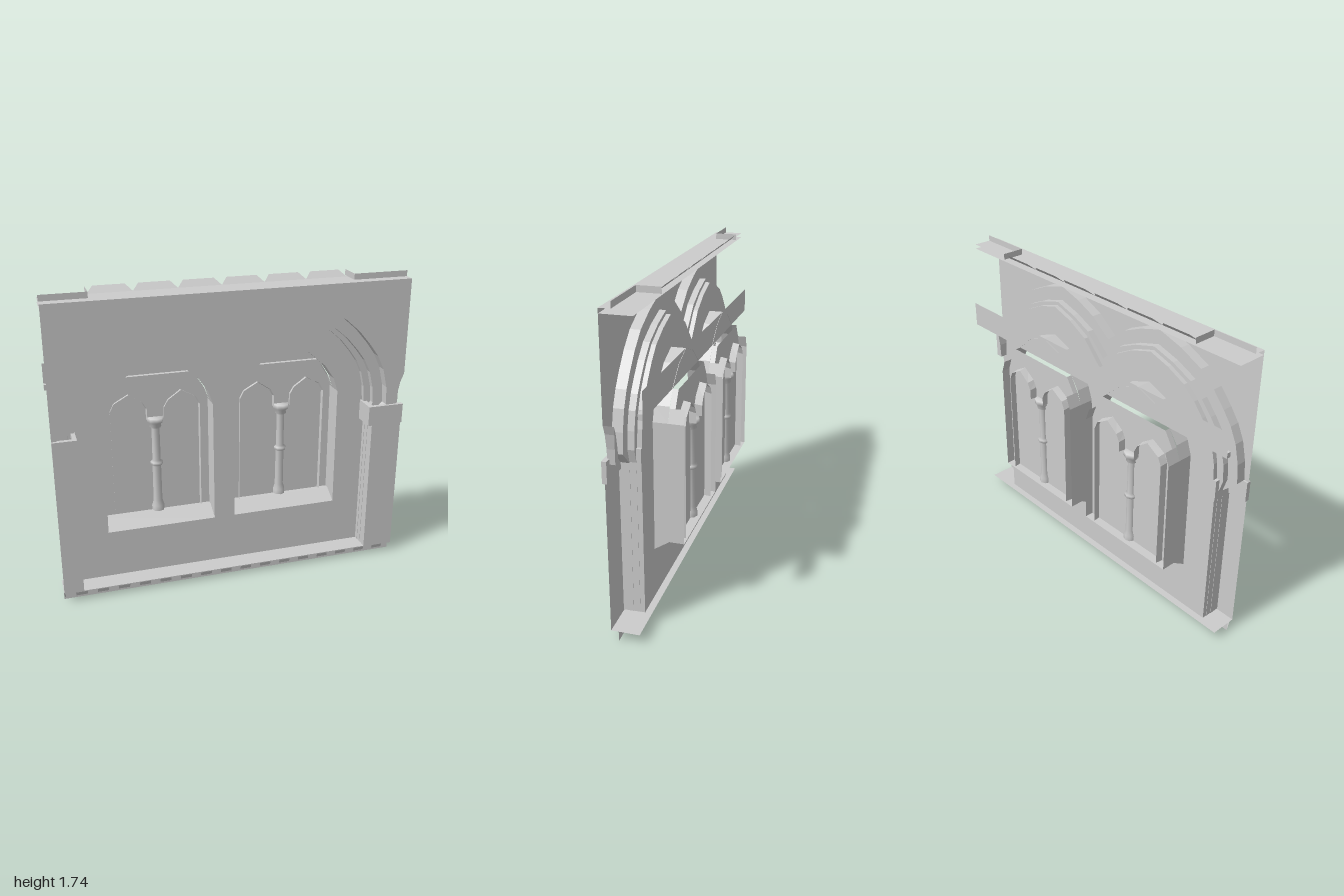
import * as THREE from 'three';

const mat = new THREE.MeshStandardMaterial({ color: 0xcccccc, side: THREE.DoubleSide });
const mirrorX = (half) => [...half.map(([x, y]) => [-x, y]), ...half.slice(0, -1).reverse()];
const shift = (pts, dx) => pts.map(([x, y]) => [x + dx, y]);

function add(parent, name, geometry, x = 0, y = 0, z = 0) {
  const mesh = new THREE.Mesh(geometry, mat);
  mesh.name = name;
  mesh.position.set(x, y, z);
  parent.add(mesh);
  return mesh;
}

function box(parent, name, x0, x1, y0, y1, z0, z1) {
  return add(parent, name, new THREE.BoxGeometry(x1 - x0, y1 - y0, z1 - z0),
    (x0 + x1) / 2, (y0 + y1) / 2, (z0 + z1) / 2);
}

// flat sheet facing +z, with openings
function sheet(parent, name, outline, holes, z) {
  const vec = (pts) => pts.map(([x, y]) => new THREE.Vector2(x, y));
  const shape = new THREE.Shape(vec(outline));
  shape.holes = holes.map((h) => new THREE.Path(vec(h)));
  return add(parent, name, new THREE.ShapeGeometry(shape), 0, 0, z);
}

// faceted band joining two outlines of equal length at two depths
function reveal(parent, name, a, za, b, zb, closed = true) {
  const pos = [];
  const n = a.length;
  for (let i = 0; i < (closed ? n : n - 1); i++) {
    const j = (i + 1) % n;
    const p = [...a[i], za], q = [...a[j], za], r = [...b[j], zb], s = [...b[i], zb];
    pos.push(...p, ...q, ...r, ...p, ...r, ...s);
  }
  const g = new THREE.BufferGeometry();
  g.setAttribute('position', new THREE.Float32BufferAttribute(pos, 3));
  g.computeVertexNormals();
  return add(parent, name, g);
}

const rect = (x0, x1, y0, y1) => [[x0, y0], [x1, y0], [x1, y1], [x0, y1]];
// horizontal sheet
const shelf = (parent, name, x0, x1, y, z0, z1) =>
  reveal(parent, name, [[x0, y], [x1, y]], z1, [[x0, y], [x1, y]], z0, false);

const CENTRES = [-0.407, 0.337];
const MID = -0.035, SPRING = 0.98;
// half arch, from the springing to the point, as fractions of width and rise
const ARCH = [[1, 0], [0.985, 0.17], [0.94, 0.34], [0.87, 0.47], [0.78, 0.58], [0.655, 0.71],
  [0.5, 0.83], [0.26, 0.93], [0, 1]];

// rise of the arch at a fraction of its width
function archAt(u) {
  const i = ARCH.findIndex(([next]) => next <= u);
  const [u0, v0] = ARCH[i - 1], [u1, v1] = ARCH[i];
  return v0 + (v1 - v0) * (u0 - u) / (u0 - u1);
}

// closed outline of the twin arch with its jambs
function twinArch(w, rise, jamb) {
  const outer = ARCH.map(([u, v]) => [u * w, SPRING + v * rise]);
  const inner = [0.13, 0.25].map((d) => [-d, SPRING + archAt(d / w) * rise]);
  const half = [[jamb, 0.06], [jamb, 0.9], ...outer, ...inner];
  const left = half.map(([x, y]) => [CENTRES[0] - x, y]);
  const right = half.map(([x, y]) => [CENTRES[1] + x, y]).reverse();
  return [...left, [MID, SPRING + archAt(0.372 / w) * rise], ...right];
}

function colonnette(parent, x) {
  const profile = [[0.036, 0.395], [0.036, 0.425], [0.026, 0.455], [0.025, 0.675], [0.036, 0.685],
    [0.036, 0.7], [0.024, 0.71], [0.023, 0.905], [0.034, 0.915], [0.03, 0.93], [0.046, 0.945],
    [0.046, 0.97], [0, 0.97]];
  const g = new THREE.LatheGeometry(profile.map(([r, y]) => new THREE.Vector2(r, y)), 8);
  add(parent, 'colonnette', g, x, 0, -0.09);
}

function windowBay(parent, c) {
  const bay = new THREE.Group();
  bay.name = 'windowBay';
  parent.add(bay);
  const top = [[0.225, 1.21], [0.12, 1.3], [0, 1.345]];
  const front = shift(mirrorX([[0.312, 0.34], [0.307, 1.05], [0.28, 1.13], ...top]), c);
  const back = shift(mirrorX([[0.31, 0.392], [0.306, 1.05], [0.28, 1.13], ...top]), c);
  reveal(bay, 'windowReveal', front, 0.015, back, -0.065);

  // deep jambs and sill framing a flat panel
  for (const s of [-1, 1]) {
    const jamb = [[c + s * 0.31, 0.392], [c + s * 0.306, 1.05], [c + s * 0.28, 1.12]];
    reveal(bay, 'deepJamb', jamb, -0.065, jamb, -0.145, false);
    const shoulder = [[c + s * 0.28, 1.12], [c + s * 0.228, 1.205]];
    reveal(bay, 'jambShoulder', shoulder, -0.065, shoulder, -0.095, false);
  }
  shelf(bay, 'deepSill', c - 0.31, c + 0.31, 0.392, -0.145, -0.065);
  const panel = mirrorX([[0.31, 0.392], [0.306, 1.05], [0.28, 1.12], [0.228, 1.205], [0, 1.205]]);
  sheet(bay, 'panel', shift(panel, c), [], -0.095);

  // pointed mouldings of the two lights, standing out on both sides of the panel
  const lancet = [[-0.108, 0.392], [-0.107, 1.03], [-0.085, 1.075], [0, 1.122], [0.075, 1.07],
    [0.098, 1.03], [0.1, 0.96]];
  const inner = lancet.map(([x, y]) => [x * 0.92, y > 1 ? y - 0.012 : y]);
  for (const s of [-1, 1]) {
    const place = (pts) => pts.map(([x, y]) => [c - s * (x - 0.147), y]);
    reveal(bay, 'lancetMoulding', place(lancet), -0.07, place(inner), -0.135, false);
  }
  colonnette(bay, c);
  return front;
}

export function createModel() {
  const model = new THREE.Group();
  model.name = 'arcadeWall';

  // stepped recess of the twin arch
  const a = twinArch(0.565, 0.635, 0.483);
  const b = twinArch(0.505, 0.555, 0.481);
  const c = twinArch(0.465, 0.535, 0.479);
  const sliver = [[0.96, 0.95], [0.965, 1.03], [0.98, 1.11], [1, 1.16]];
  const wall = [[-1, 0.055], [1, 0.055], [1, 0.95], ...sliver, [1, 1.705], [-1, 1.705]];
  sheet(model, 'frontWall', wall, [a], 0.13);
  reveal(model, 'outerArchReveal', a, 0.13, a, 0.075);
  sheet(model, 'outerArchRing', a, [b], 0.075);
  reveal(model, 'middleArchReveal', b, 0.075, b, 0.04);
  sheet(model, 'middleArchRing', b, [c], 0.04);
  reveal(model, 'innerArchReveal', c, 0.04, c, 0.015);
  reveal(model, 'nextArchReveal', sliver, 0.13, sliver, 0.075, false);
  sheet(model, 'nextArchRing', [...sliver, [1, 0.95]], [], 0.075);

  // windows and the recessed wall around them
  const openings = CENTRES.map((x) => windowBay(model, x));
  sheet(model, 'recessedWall', c, openings, 0.015);

  // band across the back with a small lip along its lower edge
  sheet(model, 'backBand', rect(-1, 1, 1.205, 1.345), [], -0.063);
  box(model, 'bandLip', -1, 1, 1.205, 1.235, -0.063, -0.04);

  // imposts on the piers, returning into the recess
  box(model, 'impostRight', -1, -0.868, 0.865, 0.98, 0.12, 0.145);
  box(model, 'impostRightReturn', -0.89, -0.868, 0.865, 0.98, 0.015, 0.12);
  box(model, 'impostLeft', 0.79, 1, 0.865, 0.98, 0.12, 0.145);
  box(model, 'impostLeftReturn', 0.79, 0.82, 0.865, 0.98, 0.015, 0.12);

  // base ledge and its row of small brackets
  shelf(model, 'baseLedge', -1, 1, 0.055, -0.02, 0.13);
  sheet(model, 'baseBand', rect(-1, 1, 0, 0.055), [], 0.09);
  for (let i = 0; i < 17; i++) {
    const x0 = Math.max(-1, -1.055 + i * 0.1217), x1 = Math.min(1, -0.99 + i * 0.1217);
    reveal(model, 'bracket', [[x0, 0.055], [x1, 0.055]], 0.105, [[x0, 0.012], [x1, 0.012]], 0.092, false);
  }

  // cornice shelves and stepped parapet
  shelf(model, 'corniceTop', -1, 1, 1.705, -0.03, 0.13);
  shelf(model, 'corniceUnderside', -1, 1, 1.68, -0.03, 0.13);
  for (const [x0, x1, step] of [[-1, -0.755, -0.755], [0.685, 1, 0.685]]) {
    sheet(model, 'parapetEnd', rect(x0, x1, 1.705, 1.738), [], 0.07);
    const edge = [[step, 1.705], [step, 1.738]];
    reveal(model, 'parapetStep', edge, 0.07, edge, -0.055, false);
  }
  for (let i = 0; i < 6; i++) {
    const x0 = -0.75 + i * 0.238, x1 = x0 + 0.238;
    const low = [[x0, 1.705], [x1, 1.705]], high = [[x0 + 0.035, 1.738], [x1 - 0.035, 1.738]];
    reveal(model, 'merlonSlope', low, -0.02, high, -0.055, false);
  }
  return model;
}
